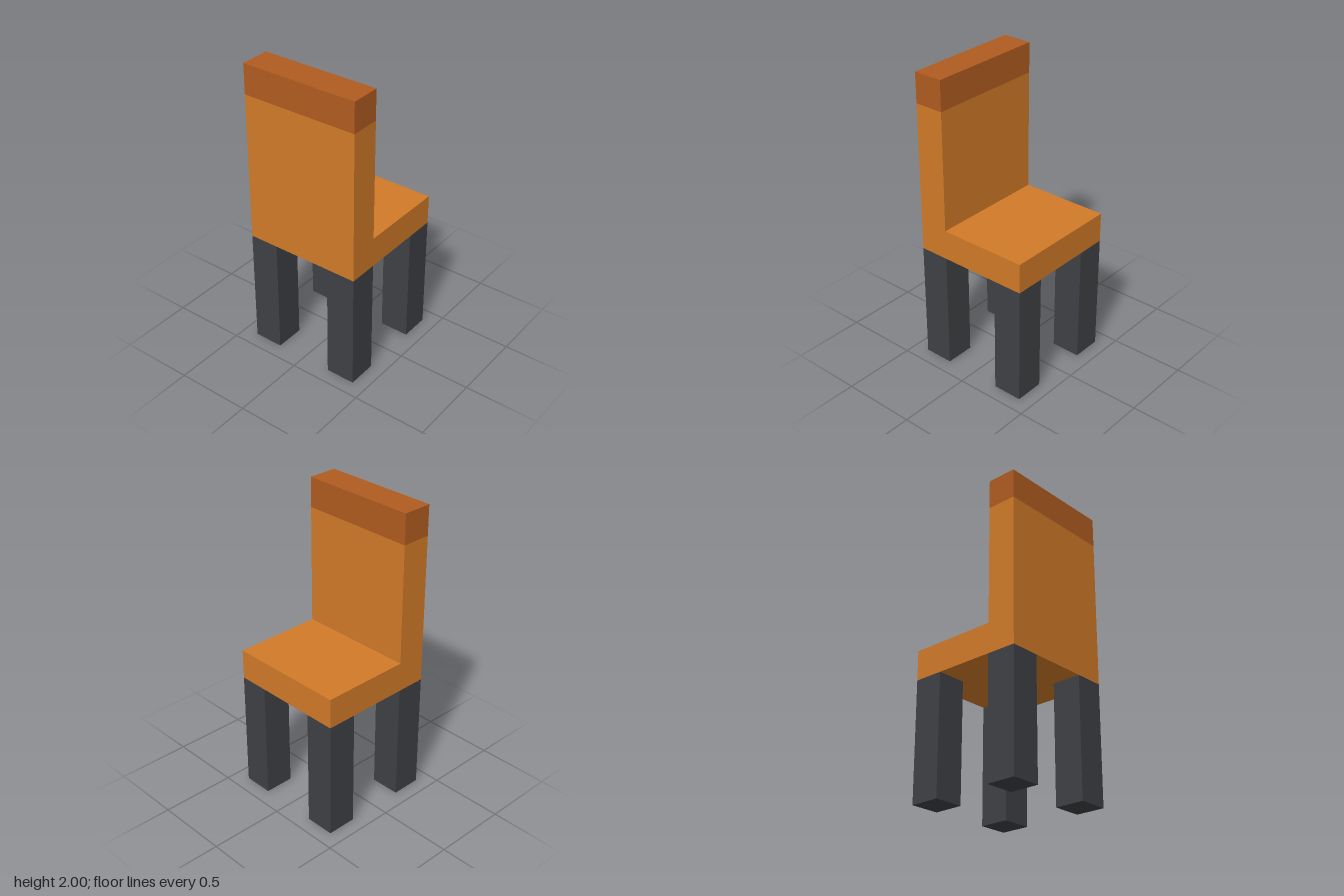
import * as THREE from 'three';

export function createModel() {
  const model = new THREE.Group();
  const orange = new THREE.MeshStandardMaterial({ color: 0xd07a28 });
  const rust = new THREE.MeshStandardMaterial({ color: 0xb05c20 });
  const charcoal = new THREE.MeshStandardMaterial({ color: 0x3e4044 });

  // Adds a box standing on height y
  function box(name, material, [w, h, d], [x, y, z]) {
    const mesh = new THREE.Mesh(new THREE.BoxGeometry(w, h, d), material);
    mesh.name = name;
    mesh.position.set(x, y + h / 2, z);
    model.add(mesh);
  }

  // Four square legs, flush with the seat corners
  for (const [side, x] of [['left', 0.3], ['right', -0.3]]) {
    box(`${side}BackrestLeg`, charcoal, [0.2, 0.8, 0.2], [x, 0, 0.3]);
    box(`${side}SeatLeg`, charcoal, [0.2, 0.8, 0.2], [x, 0, -0.3]);
  }

  // Seat and backrest form one L-shaped block, outlined in the z-y plane
  const profile = new THREE.Shape([
    [0.4, 0.8], [0.4, 1.8], [0.2, 1.8], [0.2, 1], [-0.4, 1], [-0.4, 0.8],
  ].map(([z, y]) => new THREE.Vector2(-z, y)));
  const geometry = new THREE.ExtrudeGeometry(profile, { depth: 0.8, bevelEnabled: false });
  geometry.translate(0, 0, -0.4).rotateY(Math.PI / 2);
  const seat = new THREE.Mesh(geometry, orange);
  seat.name = 'seatAndBackrest';
  model.add(seat);

  // Darker rail capping the backrest
  box('topRail', rust, [0.8, 0.2, 0.2], [0, 1.8, 0.3]);

  return model;
}
